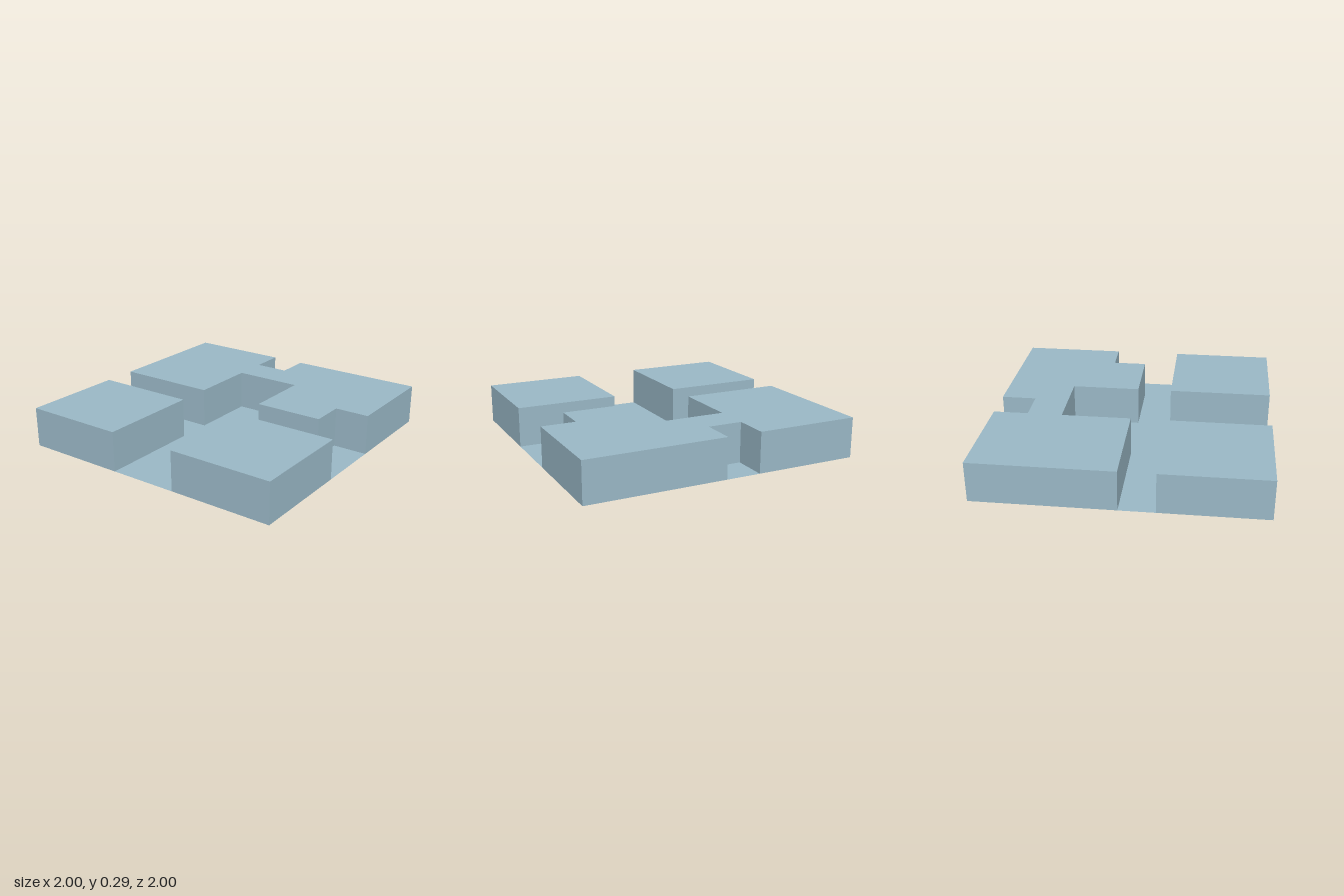
import * as THREE from 'three';

const HEIGHT = 0.29;

export function createModel() {
  const model = new THREE.Group();
  const material = new THREE.MeshStandardMaterial({ color: 0x9ab8c6, flatShading: true });

  // Extrudes a ground outline of [x, z] corners straight up
  function addBlock(name, outline) {
    const shape = new THREE.Shape(outline.map(([x, z]) => new THREE.Vector2(x, -z)));
    const geometry = new THREE.ExtrudeGeometry(shape, { depth: HEIGHT, bevelEnabled: false });
    geometry.rotateX(-Math.PI / 2);
    const mesh = new THREE.Mesh(geometry, material);
    mesh.name = name;
    model.add(mesh);
  }

  // Thin ground sheet under all blocks
  const floorMaterial = material.clone();
  floorMaterial.side = THREE.DoubleSide;
  const floor = new THREE.Mesh(new THREE.PlaneGeometry(2, 2).rotateX(-Math.PI / 2), floorMaterial);
  floor.name = 'floor';
  model.add(floor);

  // Two mirrored square blocks on the right side
  for (const [name, s] of [['frontSquareBlock', 1], ['backSquareBlock', -1]]) {
    addBlock(name, [[-1, 0.25 * s], [-0.25, 0.25 * s], [-0.25, s], [-1, s]]);
  }

  // Large block with a central bay, a side notch and a cut front corner
  addBlock('notchedBlock', [
    [0, -1], [1, -1], [1, -0.25], [0.75, -0.25], [0.75, 0], [1, 0], [1, 1],
    [0.25, 1], [0.25, 0.75], [0, 0.75], [0, 0.25], [0.5, 0.25], [0.5, -0.25], [0, -0.25],
  ]);

  return model;
}
